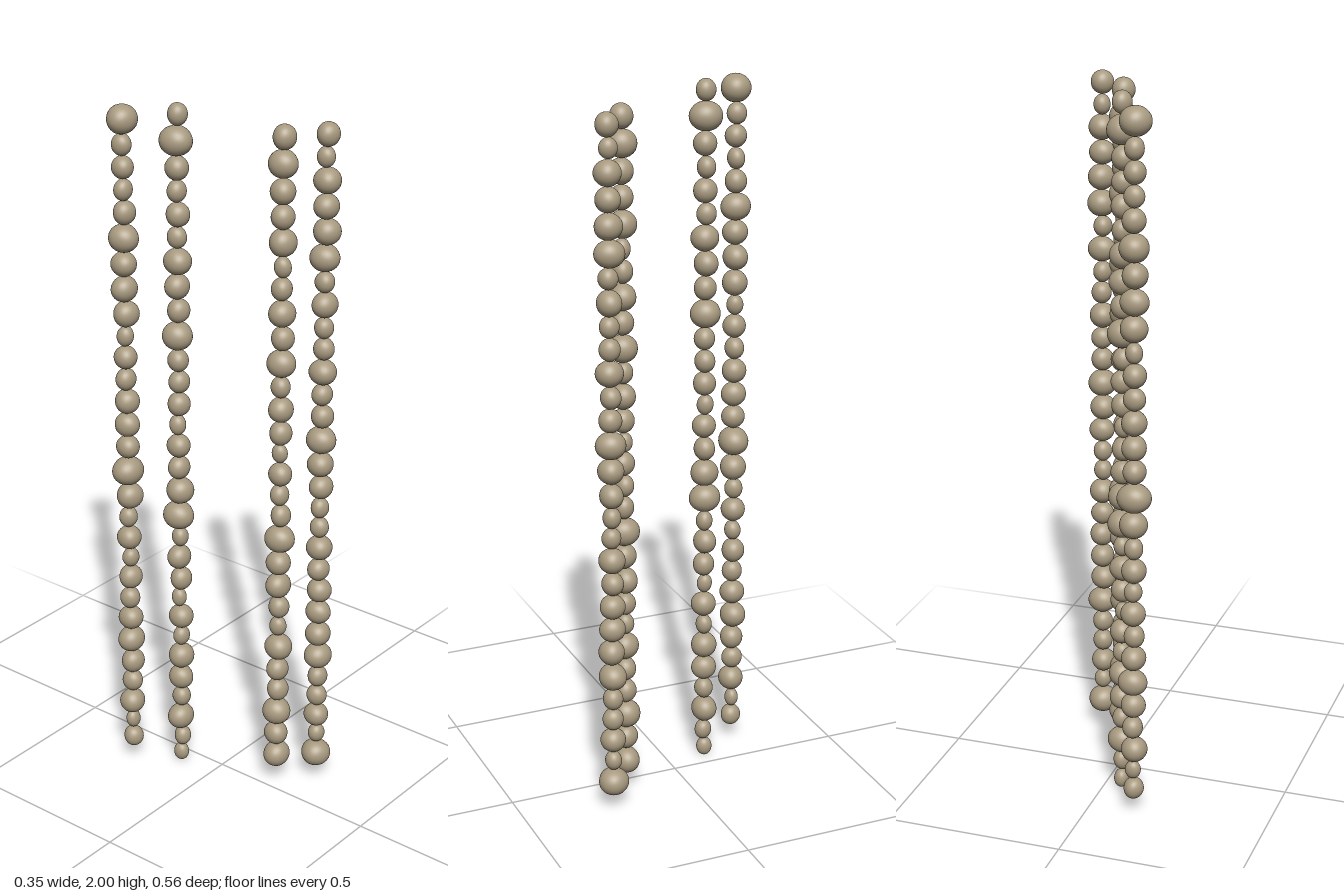
import * as THREE from 'three';
import { mergeVertices } from 'three/addons/utils/BufferGeometryUtils.js';

const UNIT = 0.0053; // radii are given in these steps

// Per strand: position, lower and upper end, bead radii from top to bottom
const STRANDS = [
  { name: 'backRightStrand', x: -0.124, z: -0.235, bottom: 0.04, top: 1.99,
    radii: [8, 5, 5.5, 5, 6, 7.7, 6.5, 7, 7, 4.5, 6, 5.5, 6.5, 6.5, 6, 8.5, 7.3, 5, 6.5, 4.5, 6.5, 5.5, 6.5, 7.3, 6.5, 5.5, 7, 4, 5.3] },
  { name: 'backLeftStrand', x: -0.05, z: -0.112, bottom: 0, top: 2,
    radii: [5, 8.2, 6, 5, 6, 5, 7, 6.5, 6, 8, 5.5, 5.5, 6, 4.5, 6, 6, 7.3, 8, 4.5, 6.5, 6, 4, 6.5, 4.5, 7, 6.5, 5, 7.3, 4.5, 4] },
  { name: 'frontRightStrand', x: 0.041, z: 0.169, bottom: 0.05, top: 1.975,
    radii: [6, 7.3, 6.5, 6, 7.3, 4.5, 5.5, 7, 6, 7.4, 5, 6.5, 6, 4, 6, 5, 5.5, 7.7, 6.5, 7, 5.5, 4.5, 7.3, 6, 6, 7.7, 6.2, 7.3] },
  { name: 'frontLeftStrand', x: 0.13, z: 0.242, bottom: 0.04, top: 1.975,
    radii: [6, 4.5, 7, 6.5, 7, 7.5, 5, 7, 5, 5.5, 7, 5.5, 6, 7.7, 7, 6.5, 5, 5, 7, 6, 6.5, 6.5, 7, 7.5, 5.5, 5.5, 6.5, 4.5, 8] },
];

// A smooth pebble: a unit ball with gentle bulges
function pebbleGeometry(phase) {
  let g = new THREE.IcosahedronGeometry(1, 5);
  g.deleteAttribute('uv');
  g.deleteAttribute('normal');
  g = mergeVertices(g);
  const p = g.attributes.position;
  const v = new THREE.Vector3();
  for (let i = 0; i < p.count; i++) {
    v.fromBufferAttribute(p, i);
    const bulge = 1 + 0.035 * Math.sin(2.6 * v.x + phase) + 0.03 * Math.sin(2.9 * v.z + 1.7 * phase);
    p.setXYZ(i, v.x * bulge, v.y, v.z * bulge);
  }
  g.computeVertexNormals();
  return g;
}

export function createModel() {
  const group = new THREE.Group();
  group.name = 'beadStrands';
  const stone = new THREE.MeshStandardMaterial({ color: 0xa89a80 });
  stone.name = 'tan stone';
  const pebbles = [0.4, 1.9, 3.3, 4.8].map(pebbleGeometry);

  // Small seeded irregularity
  let seed = 7;
  const jitter = (amount) => {
    seed = (seed * 16807) % 2147483647;
    return (seed / 2147483647 - 0.5) * 2 * amount;
  };

  for (const { name, x, z, bottom, top, radii } of STRANDS) {
    const strand = new THREE.Group();
    strand.name = name;
    strand.position.set(x, 0, z);

    // Small beads are rounder and large ones flatter; together they fill the strand
    const shares = radii.map((r) => 5 + r);
    const step = (top - bottom) / shares.reduce((a, b) => a + b);
    let y = top;
    radii.forEach((r, i) => {
      const height = shares[i] * step;
      const bead = new THREE.Mesh(pebbles[i % pebbles.length], stone);
      bead.name = 'bead';
      bead.position.set(jitter(0.002), y - height / 2, jitter(0.002));
      bead.scale.set(r * UNIT, height / 2, r * UNIT * (1 + jitter(0.05)));
      bead.rotation.set(jitter(0.1), 0, jitter(0.1));
      strand.add(bead);
      y -= height;
    });
    group.add(strand);
  }
  return group;
}
